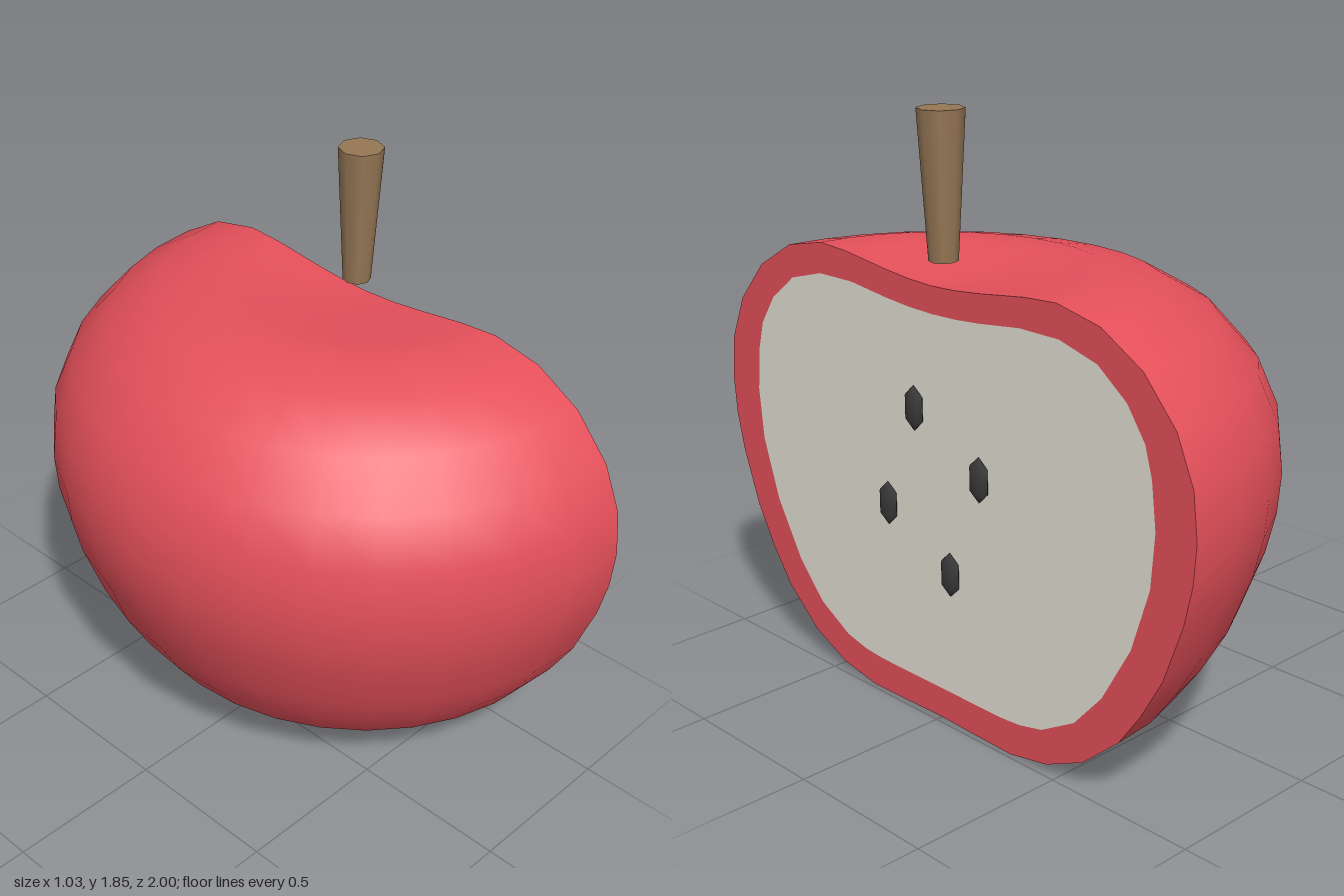
import * as THREE from 'three';

const CUT_X = 0.485; // plane of the cut, also the axis of the fruit

const skin = new THREE.MeshStandardMaterial({ name: 'red skin', color: 0xe5505a });
const flesh = new THREE.MeshStandardMaterial({ name: 'cream flesh', color: 0xe6e2d5 });
const wood = new THREE.MeshStandardMaterial({ name: 'brown stem', color: 0x967755 });
const dark = new THREE.MeshStandardMaterial({ name: 'dark seed', color: 0x3b3b3b });

const toPoints = (list) => list.map(([r, y]) => new THREE.Vector2(r, y));

// Half outlines from bottom centre to top centre: [radius, height]
const skinProfile = toPoints([
  [0, 0.01], [0.15, 0.006], [0.31, 0.003], [0.46, 0.03], [0.605, 0.095], [0.74, 0.21],
  [0.82, 0.32], [0.895, 0.45], [0.962, 0.63], [0.99, 0.75], [1, 0.87], [0.985, 1.01],
  [0.925, 1.15], [0.81, 1.28], [0.66, 1.367], [0.5, 1.4], [0.38, 1.393], [0.2, 1.37],
  [0.1, 1.36], [0, 1.356],
]);
const fleshProfile = toPoints([
  [0, 0.107], [0.27, 0.107], [0.35, 0.113], [0.44, 0.133], [0.57, 0.205], [0.675, 0.32],
  [0.78, 0.5], [0.845, 0.695], [0.86, 0.86], [0.845, 1.0], [0.82, 1.09], [0.755, 1.185],
  [0.65, 1.265], [0.51, 1.303], [0.36, 1.304], [0.2, 1.285], [0.1, 1.277], [0, 1.274],
]);

// Mirror a half outline into a closed loop
function mirrored(profile) {
  const left = profile.slice(1, -1).reverse().map((p) => new THREE.Vector2(-p.x, p.y));
  return [...profile, ...left];
}

export function createModel() {
  const group = new THREE.Group();
  group.name = 'halfApple';

  function add(name, geometry, material, x, y = 0, z = 0) {
    const mesh = new THREE.Mesh(geometry, material);
    mesh.name = name;
    mesh.position.set(x, y, z);
    group.add(mesh);
    return mesh;
  }

  // Rounded outer skin: half a revolution on the -x side
  add('outerSkin', new THREE.LatheGeometry(skinProfile, 16, Math.PI, Math.PI), skin, CUT_X);

  // Flat cut: a red rim with the flesh set into it
  const rim = new THREE.Shape(mirrored(skinProfile));
  rim.holes.push(new THREE.Path(mirrored(fleshProfile)));
  const core = new THREE.Shape(mirrored(fleshProfile));
  add('cutRim', new THREE.ShapeGeometry(rim).rotateY(Math.PI / 2), skin, CUT_X);
  add('cutFlesh', new THREE.ShapeGeometry(core).rotateY(Math.PI / 2), flesh, CUT_X);

  // Faceted seeds half sunk in the flesh: [height, z]
  const seed = new THREE.SphereGeometry(1, 8, 3).scale(0.018, 0.07, 0.043);
  for (const [y, z] of [[0.98, 0.075], [0.83, -0.2], [0.65, 0.205], [0.5, -0.07]]) {
    add('seed', seed, dark, 0.495, y, z);
  }

  // Tapered stem floating just above the dip
  add('stem', new THREE.CylinderGeometry(0.069, 0.043, 0.43, 8), wood, 0.435, 1.635);

  return group;
}
